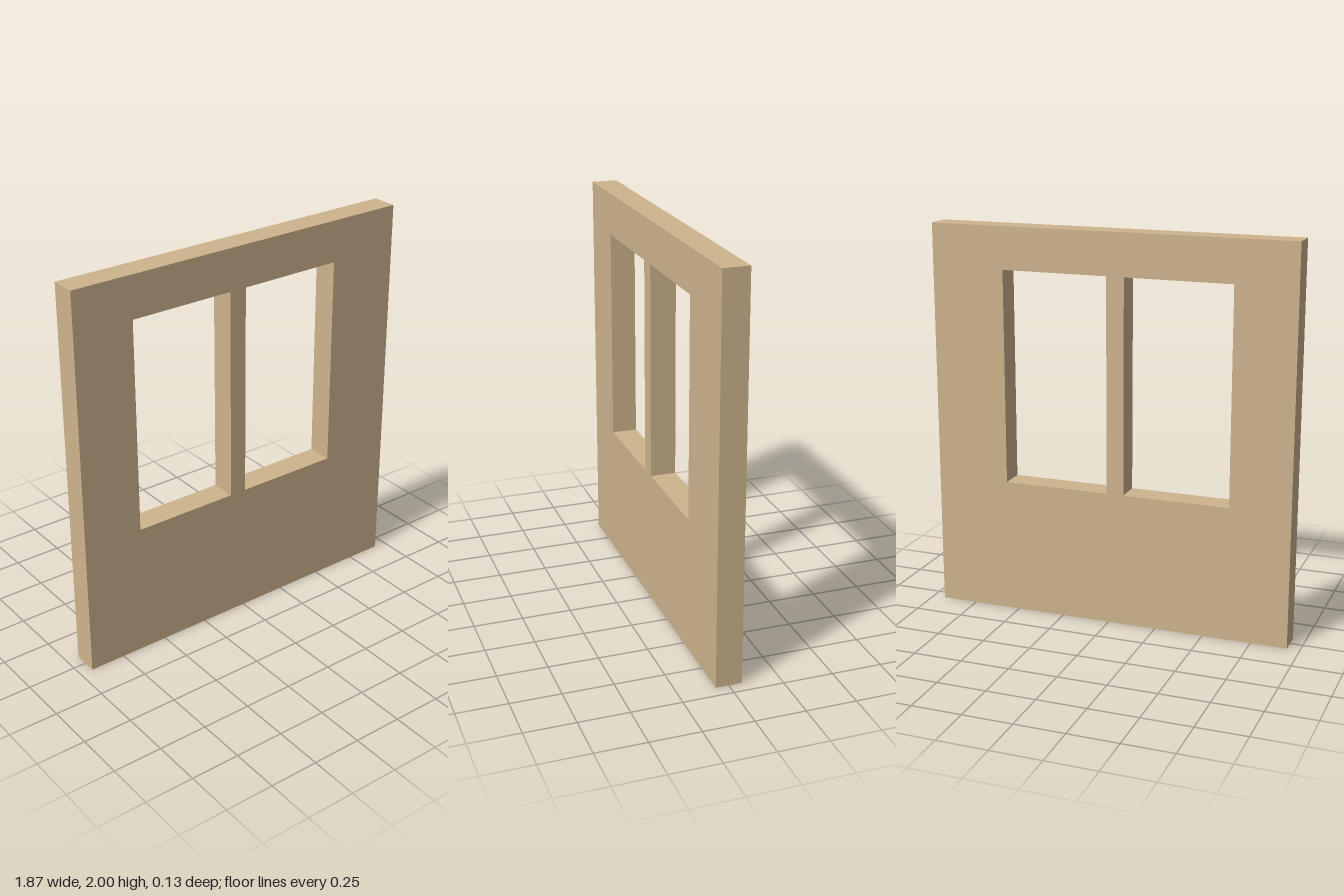
import * as THREE from 'three';

const WIDTH = 1.87, HEIGHT = 2, DEPTH = 0.13;

// Adds the four corners of a rectangle to a shape or path
function rectangle(path, x0, y0, x1, y1) {
  path.moveTo(x0, y0);
  path.lineTo(x1, y0);
  path.lineTo(x1, y1);
  path.lineTo(x0, y1);
  path.closePath();
  return path;
}

export function createModel() {
  const group = new THREE.Group();
  group.name = 'windowWall';

  const tan = new THREE.MeshStandardMaterial({ color: 0xceb48e });
  tan.name = 'tan';

  // Wall outline with two tall window openings, slightly off centre
  const outline = rectangle(new THREE.Shape(), -WIDTH / 2, 0, WIDTH / 2, HEIGHT);
  for (const left of [-0.625, 0.01]) {
    outline.holes.push(rectangle(new THREE.Path(), left, 0.69, left + 0.545, 1.785));
  }

  // Solid slab, centred in depth
  const geometry = new THREE.ExtrudeGeometry(outline, { depth: DEPTH, bevelEnabled: false });
  geometry.translate(0, 0, -DEPTH / 2);

  const wall = new THREE.Mesh(geometry, tan);
  wall.name = 'wallPanel';
  group.add(wall);
  return group;
}
